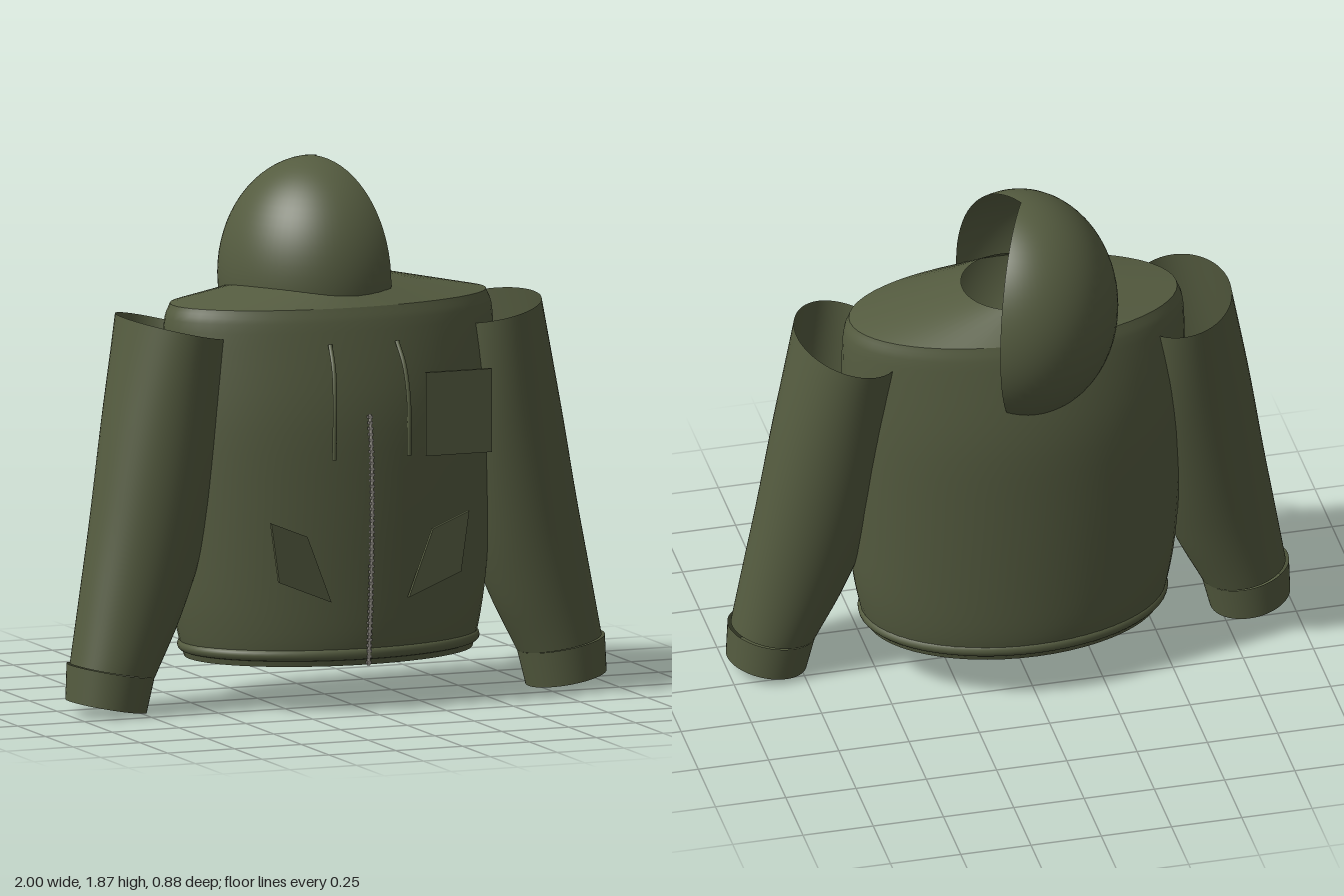
import * as THREE from 'three';

const cloth = new THREE.MeshStandardMaterial({ color: 0x555c40, side: THREE.DoubleSide });
cloth.name = 'olive cloth';
const metal = new THREE.MeshStandardMaterial({ color: 0x98948c });
metal.name = 'grey metal';

// Skin over elliptical sections [cx, cy, cz, rx, rz, tilt], listed bottom to top
function loft(sections, steps = 1, sides = 56) {
  const centres = new THREE.CatmullRomCurve3(sections.map(s => new THREE.Vector3(s[0], s[1], s[2])), false, 'catmullrom', 0.5);
  const radii = new THREE.CatmullRomCurve3(sections.map(s => new THREE.Vector3(s[3], s[4], s[5] || 0)), false, 'catmullrom', 0.5);
  const rows = (sections.length - 1) * steps;
  const pos = [], index = [];
  for (let i = 0; i <= rows; i++) {
    const c = centres.getPoint(i / rows), r = radii.getPoint(i / rows);
    for (let j = 0; j < sides; j++) {
      const a = j / sides * Math.PI * 2, u = r.x * Math.cos(a);
      pos.push(c.x + u * Math.cos(r.z), c.y + u * Math.sin(r.z), c.z + r.y * Math.sin(a));
      if (i === rows) continue;
      const k = i * sides, n = (j + 1) % sides;
      index.push(k + j, k + sides + j, k + n, k + n, k + sides + j, k + sides + n);
    }
  }
  const geometry = new THREE.BufferGeometry();
  geometry.setAttribute('position', new THREE.Float32BufferAttribute(pos, 3));
  geometry.setIndex(index);
  geometry.computeVertexNormals();
  return geometry;
}

function tube(points, radius) {
  const curve = new THREE.CatmullRomCurve3(points.map(p => new THREE.Vector3(...p)));
  return new THREE.TubeGeometry(curve, 32, radius, 8);
}

export function createModel() {
  const model = new THREE.Group();
  model.name = 'jacket';
  const add = (name, geometry, material = cloth) => {
    const mesh = new THREE.Mesh(geometry, material);
    mesh.name = name;
    model.add(mesh);
    return mesh;
  };

  // Torso, open at the hem
  add('torso', loft([
    [0, 0.16, 0.035, 0.52, 0.35],
    [0, 0.25, 0.033, 0.545, 0.366],
    [0, 0.42, 0.032, 0.572, 0.371],
    [0, 0.75, 0.032, 0.595, 0.371],
    [0, 1.05, 0.032, 0.605, 0.36],
    [0, 1.32, 0.032, 0.602, 0.311],
    [0, 1.4, 0.032, 0.58, 0.286],
  ], 4));

  // Shoulder yoke sloping up to the open neck
  add('yoke', loft([
    [0, 1.4, 0.032, 0.58, 0.286],
    [0, 1.48, 0.032, 0.18, 0.185],
  ]));

  // Rolled hem
  const hem = new THREE.TorusGeometry(0.525, 0.02, 12, 64);
  hem.rotateX(Math.PI / 2).scale(1, 1, 0.68).translate(0, 0.2, 0.035);
  add('hem', hem);

  // Hood shell with a wedge left open
  const hood = new THREE.SphereGeometry(1, 48, 36, -0.65 * Math.PI, 1.3 * Math.PI);
  hood.scale(0.335, 0.41, 0.36).translate(0, 1.463, -0.083);
  add('hood', hood);

  for (const s of [-1, 1]) {
    const side = s > 0 ? 'left' : 'right';
    const mirror = list => list.map(([x, y, z, rx, rz, t]) => [x * s, y, z, rx, rz, t * s]);

    // Sleeve, open at the shoulder
    add(side + 'Sleeve', loft(mirror([
      [0.835, 0.15, 0.102, 0.15, 0.147, 0.18],
      [0.763, 0.37, 0.09, 0.183, 0.165, 0.19],
      [0.697, 0.62, 0.075, 0.204, 0.188, 0.2],
      [0.635, 0.96, 0.056, 0.209, 0.22, 0.21],
      [0.59, 1.33, 0.036, 0.183, 0.258, 0.22],
    ]), 5));

    // Cuff and its closed end
    const wrist = [0.86, 0.026, 0.105, 0.142, 0.146, 0.18];
    add(side + 'Cuff', loft(mirror([wrist, [0.842, 0.15, 0.102, 0.155, 0.151, 0.18]])));
    add(side + 'CuffEnd', loft(mirror([[...wrist.slice(0, 3), 0, 0, 0.18], wrist])));

    // Drawstring
    add(side + 'Drawstring', tube([
      [0.125 * s, 1.28, 0.355], [0.132 * s, 1.2, 0.405],
      [0.138 * s, 1.08, 0.43], [0.14 * s, 0.89, 0.428],
    ], 0.008));

    // Slanted hand pocket
    const outline = [[0.37, 0.68], [0.235, 0.625], [0.145, 0.39], [0.34, 0.47]];
    const shape = new THREE.Shape(outline.map(([x, y]) => new THREE.Vector2(x * s, y)));
    const pocket = new THREE.ExtrudeGeometry(shape, { depth: 0.014, bevelEnabled: false });
    add(side + 'HandPocket', pocket.translate(0, 0, 0.402));
  }

  // Chest pocket
  add('chestPocket', new THREE.BoxGeometry(0.245, 0.292, 0.015).translate(0.322, 1.031, 0.434));

  // Zip tape with small teeth
  const zipPath = [[0, 0.16, 0.4], [0, 0.4, 0.42], [0, 0.7, 0.432], [0, 0.9, 0.427], [0, 1.04, 0.412]];
  add('zip', tube(zipPath, 0.006), metal);
  const zipCurve = new THREE.CatmullRomCurve3(zipPath.map(p => new THREE.Vector3(...p)));
  for (let i = 0; i < 44; i++) {
    const tooth = add('zipTooth', new THREE.BoxGeometry(0.016, 0.009, 0.013), metal);
    tooth.position.copy(zipCurve.getPointAt((i + 0.5) / 44));
  }
  return model;
}
